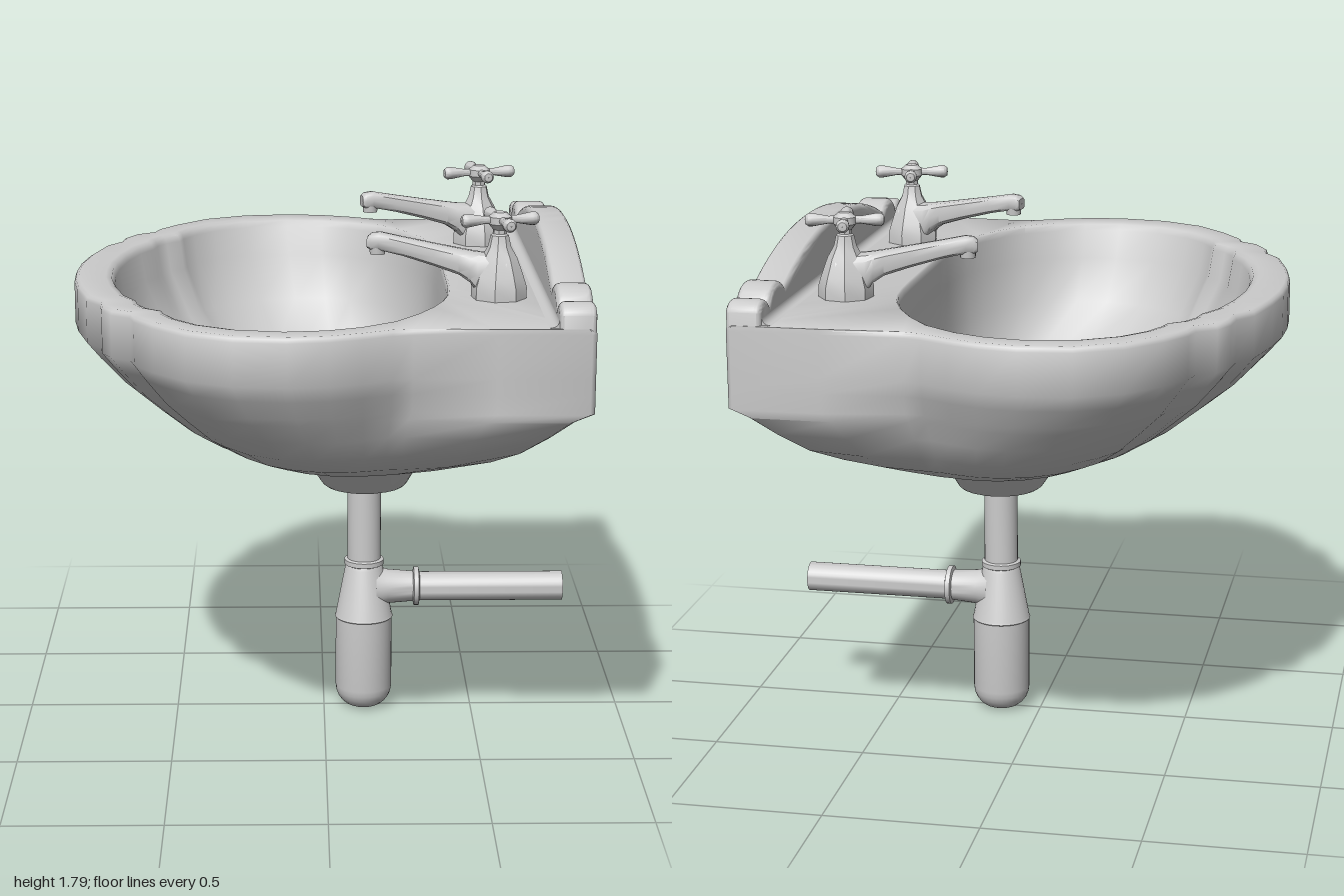
import * as THREE from 'three';
import { toCreasedNormals } from 'three/addons/utils/BufferGeometryUtils.js';

const CX = 0.135; // axis of the drain and pipes
const material = new THREE.MeshStandardMaterial({ color: 0xcccccc, side: THREE.DoubleSide });

function add(parent, name, geometry, x = 0, y = 0, z = 0) {
  const mesh = new THREE.Mesh(geometry, material);
  mesh.name = name;
  mesh.position.set(x, y, z);
  parent.add(mesh);
  return mesh;
}

// Skin over rings of equal point count
function loft(rings, crease) {
  const n = rings[0].length, index = [];
  for (let r = 0; r < rings.length - 1; r++) {
    for (let i = 0; i < n; i++) {
      const j = (i + 1) % n, a = r * n + i, b = r * n + j;
      index.push(a, a + n, b, b, a + n, b + n);
    }
  }
  const g = new THREE.BufferGeometry();
  g.setAttribute('position', new THREE.Float32BufferAttribute(rings.flat(2), 3));
  g.setIndex(index);
  return toCreasedNormals(g, crease);
}

const lathe = (points, sides = 32, crease = 0.6) =>
  toCreasedNormals(new THREE.LatheGeometry(points.map(p => new THREE.Vector2(...p)), sides), crease);

// Half outlines, back to front, as [x, z]
const OUTER = [
  [0.79, 0], [0.79, 0.25], [0.79, 0.45], [0.79, 0.68], [0.79, 0.885], [0.775, 0.9], [0.5, 0.895], [0.25, 0.89],
  [0.19, 0.905], [0.1, 0.95], [0, 0.985], [-0.12, 1], [-0.28, 0.98], [-0.42, 0.91], [-0.52, 0.8], [-0.58, 0.71],
  [-0.595, 0.655], [-0.655, 0.615], [-0.688, 0.55], [-0.697, 0.48], [-0.745, 0.41], [-0.785, 0.25], [-0.805, 0.12],
  [-0.81, 0]];
const INNER = [
  [0.385, 0], [0.385, 0.12], [0.385, 0.2], [0.383, 0.3], [0.375, 0.4], [0.355, 0.49], [0.32, 0.58], [0.27, 0.67],
  [0.2, 0.76], [0.1, 0.83], [0, 0.87], [-0.12, 0.885], [-0.27, 0.855], [-0.38, 0.79], [-0.45, 0.71], [-0.485, 0.64],
  [-0.495, 0.6], [-0.54, 0.565], [-0.57, 0.51], [-0.58, 0.455], [-0.62, 0.38], [-0.655, 0.25], [-0.675, 0.12],
  [-0.68, 0]];

// One ring: outline scaled to front, back and side, then eased towards an ellipse by w
function ring(outline, [y, front, back, side, w]) {
  const rf = CX - outline[outline.length - 1][0], rb = outline[0][0] - CX;
  const rz = Math.max(...outline.map(p => p[1]));
  const backSide = Math.min(1, side * 1.08); // the back block keeps its width lower down
  const half = outline.map(([x, z]) => {
    const dx = x - CX, isBack = dx > 0;
    const rx = isBack ? rb : rf, sx = isBack ? back : front;
    const sz = THREE.MathUtils.lerp(side, backSide, THREE.MathUtils.smoothstep(dx, 0, 0.3));
    const t = Math.atan2(z / rz, dx / rx);
    return [
      CX + THREE.MathUtils.lerp(dx * sx, Math.cos(t) * rx * sx, w), y,
      THREE.MathUtils.lerp(z * sz, Math.sin(t) * rz * side, w)];
  });
  return [...half, ...half.slice(1, -1).reverse().map(([x, yy, z]) => [x, yy, -z])];
}

function basin() {
  // [y, front, back, side, roundness]
  const outside = [
    [0.79, 0.04, 0.058, 0.038, 1], [0.79, 0.14, 0.205, 0.133, 1], [0.797, 0.15, 0.217, 0.142, 1],
    [0.885, 0.213, 0.295, 0.197, 1], [0.905, 0.23, 0.32, 0.22, 1], [0.918, 0.26, 0.37, 0.27, 1],
    [0.95, 0.365, 0.48, 0.45, 0.85], [0.99, 0.49, 0.56, 0.62, 0.65], [1.04, 0.59, 0.65, 0.75, 0.45],
    [1.1, 0.69, 0.74, 0.835, 0.25], [1.17, 0.785, 0.83, 0.885, 0.1], [1.235, 0.87, 0.915, 0.927, 0.02],
    [1.26, 0.895, 1, 0.942, 0], [1.32, 0.955, 1, 0.975, 0], [1.37, 1, 1, 1, 0], [1.503, 1, 1, 1, 0],
    [1.514, 0.9955, 0.9955, 0.9955, 0], [1.52, 0.985, 0.985, 0.985, 0]];
  const inside = [
    [1.52, 1.035, 1.035, 1.035, 0], [1.515, 1.012, 1.012, 1.012, 0], [1.495, 1, 1, 1, 0],
    [1.4, 0.98, 0.98, 0.97, 0], [1.25, 0.89, 0.93, 0.9, 0.15], [1.12, 0.74, 0.84, 0.8, 0.4],
    [1.04, 0.56, 0.72, 0.64, 0.7], [0.99, 0.37, 0.58, 0.43, 0.9], [0.965, 0.2, 0.45, 0.22, 1],
    [0.95, 0.115, 0.36, 0.105, 1], [0.93, 0.092, 0.3, 0.085, 1]];
  return loft([...outside.map(l => ring(OUTER, l)), ...inside.map(l => ring(INNER, l))], 0.95);
}

// Upright back with a shallow arch and two scallops at each end
function splashback() {
  const s = new THREE.Shape();
  s.moveTo(-0.897, 1.4);
  s.lineTo(-0.897, 1.56);
  s.bezierCurveTo(-0.88, 1.6, -0.82, 1.6, -0.79, 1.57);
  s.bezierCurveTo(-0.76, 1.625, -0.67, 1.63, -0.62, 1.587);
  s.bezierCurveTo(-0.4, 1.67, -0.2, 1.695, 0, 1.695);
  s.bezierCurveTo(0.2, 1.695, 0.4, 1.67, 0.62, 1.587);
  s.bezierCurveTo(0.67, 1.63, 0.76, 1.625, 0.79, 1.57);
  s.bezierCurveTo(0.82, 1.6, 0.88, 1.6, 0.897, 1.56);
  s.lineTo(0.897, 1.4);
  const g = new THREE.ExtrudeGeometry(s, {
    depth: 0.07, bevelThickness: 0.02, bevelSize: 0.02, bevelOffset: -0.02, bevelSegments: 4, curveSegments: 12 });
  g.rotateY(Math.PI / 2);
  return toCreasedNormals(g, 0.6);
}

// Cove where the deck turns up into the splashback
function cove() {
  const s = new THREE.Shape();
  s.moveTo(0.01, -0.01);
  s.lineTo(0.01, 0.03);
  s.lineTo(0, 0.03);
  s.quadraticCurveTo(0, 0, -0.03, 0);
  s.lineTo(-0.03, -0.01);
  const g = new THREE.ExtrudeGeometry(s, { depth: 1.76, bevelEnabled: false, curveSegments: 6 });
  g.translate(0, 0, -0.88);
  return toCreasedNormals(g, 0.6);
}

function tap(name, z, turn) {
  const group = new THREE.Group();
  group.name = name;
  group.position.set(0.535, 0, z);

  // Faceted body and spout pointing along local -x
  const body = new THREE.Group();
  body.name = 'tapBody';
  body.rotation.y = turn;
  group.add(body);
  add(body, 'tapPillar', lathe([[0.087, 1.515], [0.087, 1.555], [0.076, 1.59], [0.056, 1.645], [0.036, 1.68],
    [0.028, 1.715], [0.022, 1.72], [0.022, 1.74]], 8, 0.4));
  const sections = [ // [x, top, bottom, width]
    [0.03, 1.655, 1.52, 0.11], [-0.06, 1.66, 1.53, 0.105], [-0.085, 1.662, 1.565, 0.1], [-0.12, 1.667, 1.588, 0.09],
    [-0.2, 1.68, 1.613, 0.08], [-0.3, 1.697, 1.64, 0.066], [-0.375, 1.711, 1.655, 0.058],
    [-0.4, 1.708, 1.655, 0.055], [-0.412, 1.698, 1.66, 0.048], [-0.412, 1.68, 1.679, 0.002]];
  const squared = v => Math.sign(v) * Math.pow(Math.abs(v), 0.6);
  const spout = sections.map(([x, top, bottom, width]) =>
    Array.from({ length: 12 }, (_, i) => {
      const a = i / 12 * Math.PI * 2;
      return [x, (top + bottom + squared(Math.sin(a)) * (top - bottom)) / 2, squared(Math.cos(a)) * width / 2];
    }));
  add(body, 'spout', loft(spout, 0.7));
  add(body, 'nozzle', new THREE.CylinderGeometry(0.026, 0.024, 0.025, 16), -0.382, 1.654);

  // Cross handle
  const handle = new THREE.Group();
  handle.name = 'crossHandle';
  handle.position.y = 1.763;
  handle.rotation.y = 0.2;
  group.add(handle);
  add(handle, 'hub', lathe([[0.001, -0.032], [0.022, -0.03], [0.036, -0.012], [0.036, 0.01], [0.026, 0.018],
    [0.02, 0.024], [0.001, 0.025]], 16));
  for (let i = 0; i < 4; i++) {
    const arm = lathe([[0.013, 0.02], [0.012, 0.05], [0.021, 0.1], [0.021, 0.112], [0.014, 0.122], [0.001, 0.124]], 12);
    arm.rotateZ(-Math.PI / 2);
    add(handle, 'handleArm', arm).rotation.y = i * Math.PI / 2;
  }
  return group;
}

export function createModel() {
  const model = new THREE.Group();
  model.name = 'washbasin';
  add(model, 'basin', basin());
  add(model, 'splashback', splashback(), 0.699);
  add(model, 'splashbackCove', cove(), 0.68, 1.52);
  add(model, 'drain', new THREE.CylinderGeometry(0.085, 0.085, 0.015, 32), CX - 0.005, 0.93);
  model.add(tap('leftTap', 0.445, -0.21), tap('rightTap', -0.445, 0.21));

  // Waste pipe and bottle trap
  add(model, 'wastePipe', lathe([[0.056, 0.8], [0.066, 0.79], [0.066, 0.773], [0.056, 0.768], [0.056, 0.528],
    [0.066, 0.524], [0.066, 0.508], [0.056, 0.503]].reverse()), CX);
  const trap = [[0.001, 0]];
  for (let i = 0; i <= 6; i++) {
    const a = i / 6 * Math.PI / 2;
    trap.push([0.025 + 0.07 * Math.sin(a), 0.075 - 0.075 * Math.cos(a)]);
  }
  trap.push([0.095, 0.32], [0.098, 0.323], [0.095, 0.33], [0.064, 0.495], [0.058, 0.508], [0.001, 0.508]);
  add(model, 'bottleTrap', lathe(trap), CX);

  // Outlet pipe running to the wall
  const outlet = lathe([[0.07, 0.04], [0.058, 0.08], [0.051, 0.165], [0.065, 0.168], [0.065, 0.184],
    [0.049, 0.188], [0.049, 0.67], [0.001, 0.67]]);
  outlet.rotateZ(-Math.PI / 2);
  add(model, 'outletPipe', outlet, CX, 0.425);
  return model;
}
